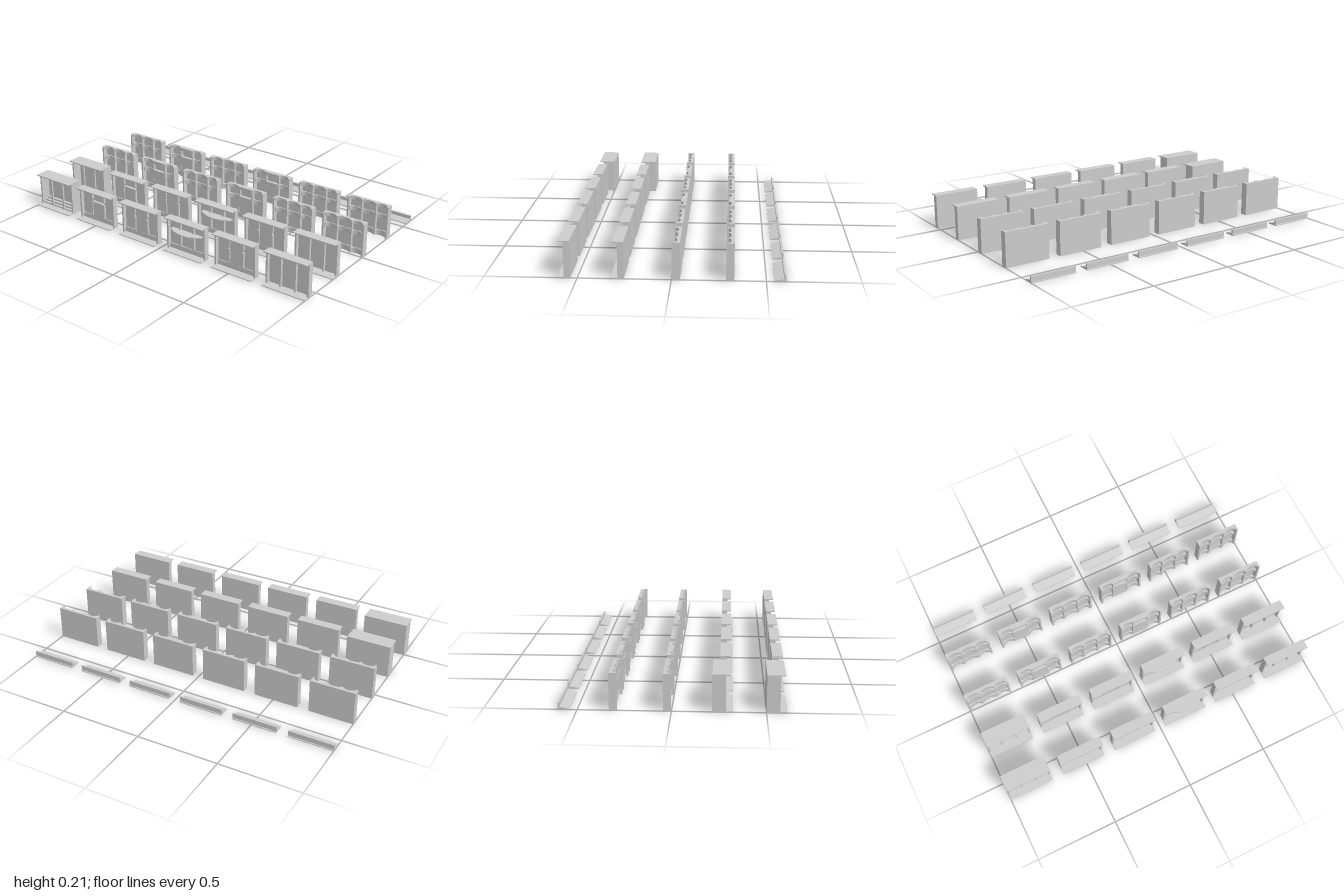
import * as THREE from 'three';

const grey = new THREE.MeshStandardMaterial({ color: 0xcccccc });
grey.name = 'plain grey';

const W = 0.275, H = 0.206, PITCH = 0.345;

// Box given by its minimum and maximum corners
function box(group, name, x0, x1, y0, y1, z0, z1) {
  const mesh = new THREE.Mesh(new THREE.BoxGeometry(x1 - x0, y1 - y0, z1 - z0), grey);
  mesh.position.set((x0 + x1) / 2, (y0 + y1) / 2, (z0 + z1) / 2);
  mesh.name = name;
  group.add(mesh);
}

// Plan outline (x, depth towards the front) raised from y0 to y1
function raised(group, name, shape, y0, y1) {
  const geo = new THREE.ExtrudeGeometry(shape, { depth: y1 - y0, bevelEnabled: false, curveSegments: 8 });
  geo.rotateX(-Math.PI / 2);
  const mesh = new THREE.Mesh(geo, grey);
  mesh.position.y = y0;
  mesh.name = name;
  group.add(mesh);
}

// Bowed shelf across the middle of a bay
function bowedShelf(group) {
  const s = new THREE.Shape();
  s.moveTo(0.03, -0.012);
  s.lineTo(0.03, -0.034);
  s.quadraticCurveTo(W / 2, -0.111, W - 0.03, -0.034);
  s.lineTo(W - 0.03, -0.012);
  raised(group, 'bowedShelf', s, 0.132, 0.138);
}

// Framed wall bay with sill and cornice; the first kind is a deep alcove
function framedBay(kind, stepped) {
  const g = new THREE.Group();
  const back = kind === 0 ? -0.038 : 0, front = 0.034;
  box(g, 'backPanel', 0, W, 0, H, back, back + 0.012);
  box(g, 'sill', 0, W, 0, 0.005, back, 0.072);
  box(g, 'cornice', 0, W, H - 0.006, H, back, 0.06);
  for (const x of [0, W - 0.011]) box(g, 'sidePost', x, x + 0.011, 0, H, back, front);
  for (const x of [0.09, 0.185]) {
    const full = kind === 0 || kind === 5;
    if (full) {
      box(g, 'pilaster', x - 0.005, x + 0.005, 0, H, kind === 0 ? 0.018 : 0, 0.028);
    } else {
      // split pilasters with a gap at mid height
      box(g, 'lowerPilaster', x - 0.006, x + 0.006, 0.038, 0.128, 0, 0.026);
      box(g, 'upperPilaster', x - 0.006, x + 0.006, 0.142, 0.196, 0, 0.026);
    }
  }
  if (kind > 0 && kind < 5) box(g, 'plinth', 0.011, W - 0.011, 0, 0.034, 0, 0.018);
  if (kind === 1) {
    box(g, 'centrePanel', 0.096, 0.179, 0.03, 0.13, 0, 0.02);
    box(g, 'smallLedge', 0.096, 0.179, 0.128, 0.134, 0, 0.03);
  }
  if (kind === 2 || kind === 4) box(g, 'centrePanel', 0.096, 0.179, 0.034, H, 0, 0.017);
  if (kind === 3) bowedShelf(g);
  // low steps on the alcove floor
  if (kind === 0 && stepped) {
    for (let i = 0; i < 3; i++) {
      box(g, 'floorStep', 0.011, W - 0.011, 0, 0.014 + 0.011 * i, -0.03, 0.024 - 0.016 * i);
    }
  }
  return g;
}

// Plan of a scalloped wall; some kinds have a solid middle
function scallopShape(solidMiddle) {
  const s = new THREE.Shape();
  const stops = [0.011, 0.09, 0.185, W - 0.011];
  s.moveTo(0, 0);
  s.lineTo(0, -0.03);
  for (let i = 0; i < 3; i++) {
    const a = stops[i] + 0.005, b = stops[i + 1] - 0.005;
    s.lineTo(a, -0.031);
    if (i === 1 && solidMiddle) s.lineTo(b, -0.033);
    else s.bezierCurveTo(a + 0.012, -0.012, b - 0.012, -0.012, b, -0.031);
  }
  s.lineTo(W, -0.03);
  s.lineTo(W, 0);
  return s;
}

// Scalloped wall bay: thin back, full-height posts and three curved bands
function scallopedBay(kind) {
  const g = new THREE.Group();
  const shape = scallopShape(kind === 1 || kind === 3);
  box(g, 'backPanel', 0, W, 0, H, 0, 0.012);
  for (const [y0, y1] of [[0, 0.034], [0.115, 0.142], [0.185, H]]) raised(g, 'scallopedBand', shape, y0, y1);
  for (const x of [0, W - 0.011]) box(g, 'sidePost', x, x + 0.011, 0, H, 0, 0.043);
  for (const x of [0.09, 0.185]) box(g, 'pilaster', x - 0.005, x + 0.005, 0, H, 0, 0.031);
  if (kind === 1 || kind === 3) box(g, 'centrePanel', 0.095, 0.18, 0, 0.13, 0, 0.03);
  return g;
}

// Low kerb with a sloping foot and an upright rib
function kerb() {
  const g = new THREE.Group();
  const s = new THREE.Shape();
  [[0, 0], [0.068, 0], [0.068, 0.005], [0.016, 0.015], [0.016, 0.036], [0.006, 0.036], [0.006, 0.006], [0, 0.005]]
    .forEach(([z, y], i) => (i ? s.lineTo(-z, y) : s.moveTo(-z, y)));
  const geo = new THREE.ExtrudeGeometry(s, { depth: W, bevelEnabled: false });
  geo.rotateY(Math.PI / 2);
  const mesh = new THREE.Mesh(geo, grey);
  mesh.name = 'kerbProfile';
  g.add(mesh);
  return g;
}

export function createModel() {
  const model = new THREE.Group();
  model.name = 'wallBaySet';
  // Each row: name, back position and builder
  const rows = [
    ['frontFramedBay', 0.538, (k) => framedBay(k, true)],
    ['rearFramedBay', 0.252, (k) => framedBay(k, false)],
    ['frontScallopedBay', -0.045, scallopedBay],
    ['rearScallopedBay', -0.331, scallopedBay],
    ['kerb', -0.61, kerb],
  ];
  for (const [name, z, build] of rows) {
    for (let k = 0; k < 6; k++) {
      const bay = build(k);
      bay.name = name;
      bay.position.set(-1 + PITCH * k, 0, z);
      model.add(bay);
    }
  }
  return model;
}
